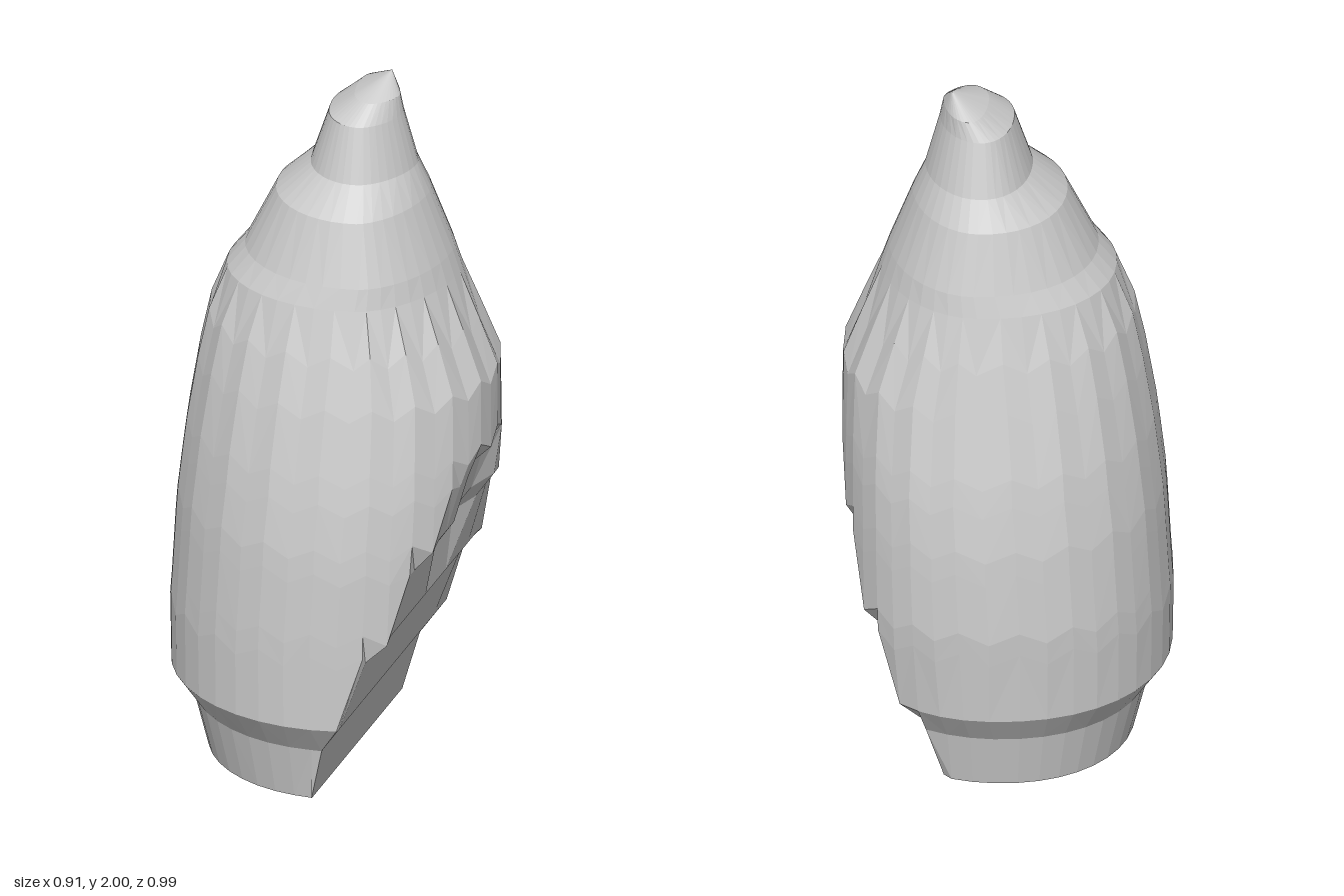
import * as THREE from 'three';

// Cross-sections: y, left x, right x, x of widest point, front z, back z, x of the break at z = 0
const SECTIONS = [
  [0.00, -0.35, 0.40, 0.02, 0.39, -0.38, 0.065],
  [0.16, -0.39, 0.43, 0.02, 0.425, -0.415, 0.105],
  [0.25, -0.452, 0.45, 0.03, 0.49, -0.475, 0.17],
  [0.45, -0.455, 0.45, 0.03, 0.492, -0.49, 0.24],
  [0.52, -0.45, 0.45, 0.03, 0.492, -0.495, 0.30],
  [0.70, -0.44, 0.452, 0.04, 0.487, -0.485, 0.35],
  [0.77, -0.435, 0.452, 0.04, 0.482, -0.48, 0.40],
  [0.90, -0.42, 0.452, 0.05, 0.465, -0.46, 0.435],
  [0.98, -0.41, 0.452, 0.05, 0.45, -0.445, 0.48],
  [1.16, -0.38, 0.45, 0.06, 0.41, -0.40, 1],
  [1.30, -0.35, 0.395, 0.07, 0.37, -0.365, 1],
  [1.44, -0.30, 0.345, 0.07, 0.325, -0.325, 1],
  [1.50, -0.25, 0.325, 0.08, 0.31, -0.31, 1],
  [1.67, -0.165, 0.26, 0.07, 0.25, -0.26, 1],
  [1.75, -0.07, 0.225, 0.07, 0.17, -0.21, 1],
  [1.90, -0.02, 0.185, 0.07, 0.12, -0.16, 1],
  [1.95, 0.05, 0.175, 0.10, 0.07, -0.135, 1],
];
const SIDES = 40;
const TIP = [0.15, 2, -0.05];
const { smoothstep } = THREE.MathUtils;

// Squareness of each quarter of a section: 2 is an ellipse, more is boxier
function squareness(y, isRight, isFront) {
  if (!isRight) return isFront ? 1.97 : 2.12;
  if (isFront) return 2.1 - 0.5 * smoothstep(y, 1, 1.65);
  return 2 + 0.3 * smoothstep(y, 0.1, 0.55) - 0.4 * smoothstep(y, 0.85, 1.45);
}

function sectionPoint(row, index) {
  const [y, left, right, mid, front, back, cut] = SECTIONS[row];
  const a = (index / SIDES) * Math.PI * 2;
  const c = Math.cos(a), s = Math.sin(a);
  const n = squareness(y, c > 0, s > 0);
  const round = (v) => Math.sign(v) * Math.abs(v) ** (2 / n);
  const z = (s > 0 ? front : -back) * round(s);
  const rounded = mid + (c > 0 ? right - mid : mid - left) * round(c);

  // slanting break across the lower right side, with a shallow niche
  const inNiche = z > -0.04 && z < 0.2 && y > 0.6 && y < 0.95;
  const breakX = cut - 0.28 * z - (inNiche ? 0.03 : 0);
  const x = Math.min(rounded, breakX);

  // staggered chips around the steep rounded side
  const chipped = y > 0.4 && y < 1.35 && rounded < breakX;
  const stagger = chipped ? (index % 2 ? 0.018 : -0.018) : 0;
  return [x, y + stagger, z];
}

function stoneGeometry() {
  const points = [], faces = [];
  SECTIONS.forEach((_, row) => {
    for (let i = 0; i < SIDES; i++) points.push(...sectionPoint(row, i));
  });
  const tip = points.length / 3;
  points.push(...TIP);
  const base = tip + 1;
  points.push(-0.1, 0, 0);
  const last = (SECTIONS.length - 1) * SIDES;
  for (let i = 0; i < SIDES; i++) {
    const j = (i + 1) % SIDES;
    for (let r = 0; r < last; r += SIDES) {
      const a = r + i, b = r + j, c = a + SIDES, d = b + SIDES;
      if (i % 2) faces.push(a, c, b, b, c, d);
      else faces.push(a, d, b, a, c, d);
    }
    faces.push(last + i, tip, last + j);               // rounded tip
    faces.push(i, j, base);                            // flat underside
  }
  const geometry = new THREE.BufferGeometry();
  geometry.setAttribute('position', new THREE.Float32BufferAttribute(points, 3));
  geometry.setIndex(faces);
  geometry.computeVertexNormals();
  return geometry;
}

export function createModel() {
  const group = new THREE.Group();
  group.name = 'standingStone';
  const stone = new THREE.MeshStandardMaterial({ color: 0xcccccc, flatShading: true });
  stone.name = 'pale grey stone';
  const body = new THREE.Mesh(stoneGeometry(), stone);
  body.name = 'stoneBody';
  group.add(body);
  return group;
}
